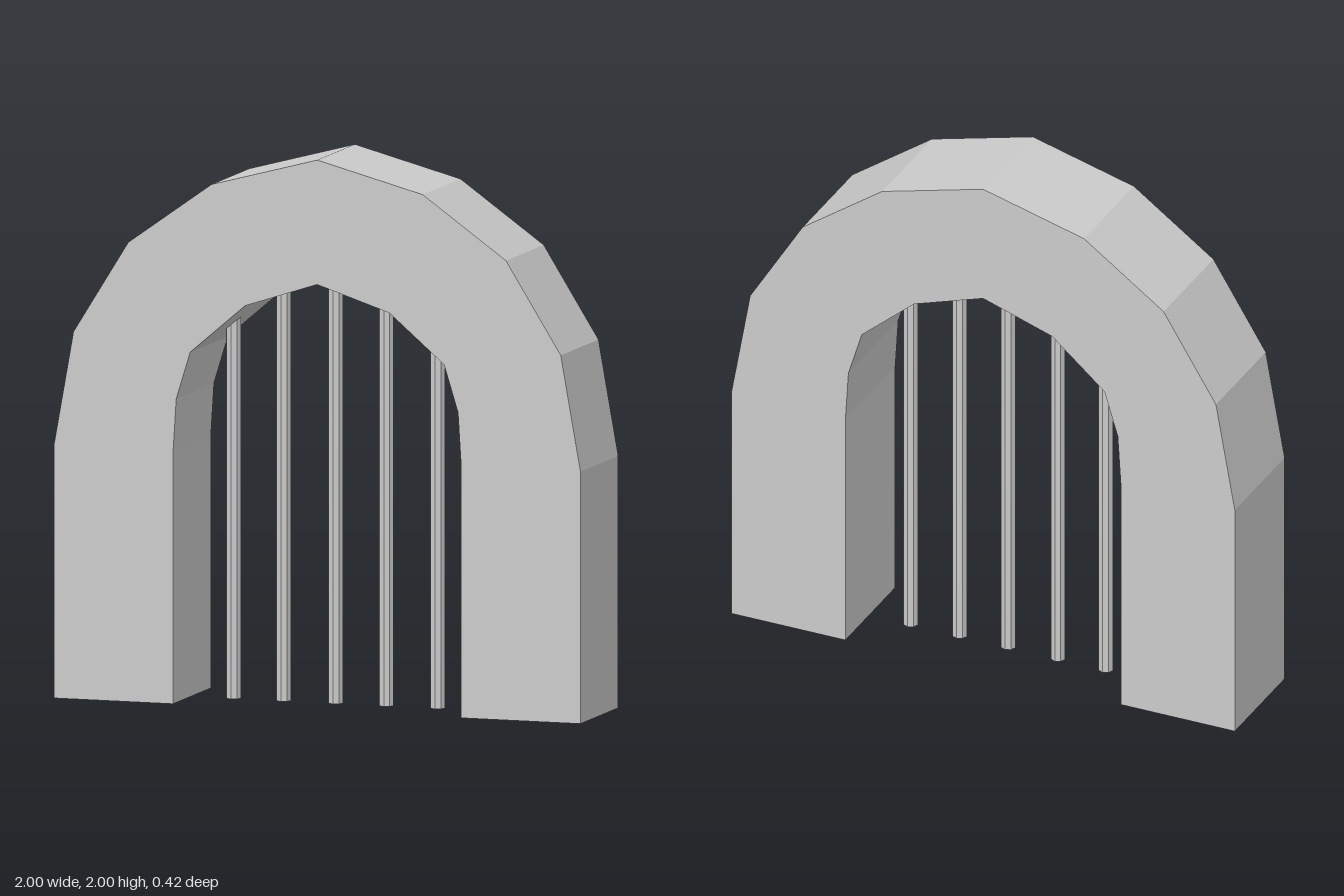
import * as THREE from 'three';

const DEPTH = 0.21; // half thickness of the arch

// Half profiles from the foot to the crown: [x, y]
const OUTER = [[1, 0], [1, 0.915], [0.925, 1.334], [0.717, 1.668], [0.401, 1.893], [0, 2]];
const INNER = [[0.547, 0], [0.547, 0.915], [0.535, 1.108], [0.482, 1.28], [0.274, 1.458], [0, 1.548]];

// Mirror a half profile into a full one running from -x to +x
function fullProfile(half) {
  const left = half.map(([x, y]) => [-x, y]);
  return [...left, ...half.slice(0, -1).reverse()];
}

// Sweep a four-cornered section along the arch, open under both feet
function archGeometry() {
  const outer = fullProfile(OUTER);
  const inner = fullProfile(INNER);
  const rings = outer.map(([x, y], i) => [
    [x, y, DEPTH],
    [x, y, -DEPTH],
    [...inner[i], -DEPTH],
    [...inner[i], DEPTH],
  ]);
  const positions = [];
  for (let i = 0; i < rings.length - 1; i++) {
    for (let k = 0; k < 4; k++) {
      const n = (k + 1) % 4;
      const a = rings[i][k], b = rings[i + 1][k];
      const c = rings[i + 1][n], d = rings[i][n];
      positions.push(...a, ...b, ...c, ...a, ...c, ...d);
    }
  }
  const geometry = new THREE.BufferGeometry();
  geometry.setAttribute('position', new THREE.Float32BufferAttribute(positions, 3));
  geometry.computeVertexNormals();
  return geometry;
}

// Height of the arch's underside at a given x
function undersideAt(x) {
  const ax = Math.abs(x);
  for (let i = 1; i < INNER.length; i++) {
    const [x0, y0] = INNER[i - 1];
    const [x1, y1] = INNER[i];
    if (ax <= x0 && ax >= x1 && x0 !== x1) return y0 + ((x0 - ax) / (x0 - x1)) * (y1 - y0);
  }
  return 0;
}

export function createModel() {
  const group = new THREE.Group();
  const material = new THREE.MeshStandardMaterial({
    color: 0xcccccc, flatShading: true, side: THREE.DoubleSide,
  });

  // Stone arch
  const arch = new THREE.Mesh(archGeometry(), material);
  arch.name = 'arch';
  group.add(arch);

  // Upright bars, their tops sunk into the arch
  const bars = new THREE.Group();
  bars.name = 'bars';
  [-0.389, -0.199, -0.001, 0.191, 0.386].forEach((x, i) => {
    const height = undersideAt(x) + 0.04;
    const bar = new THREE.Mesh(new THREE.CylinderGeometry(0.028, 0.028, height, 8), material);
    bar.position.set(x, height / 2, 0);
    bar.name = `bar${i + 1}`;
    bars.add(bar);
  });
  group.add(bars);

  return group;
}
